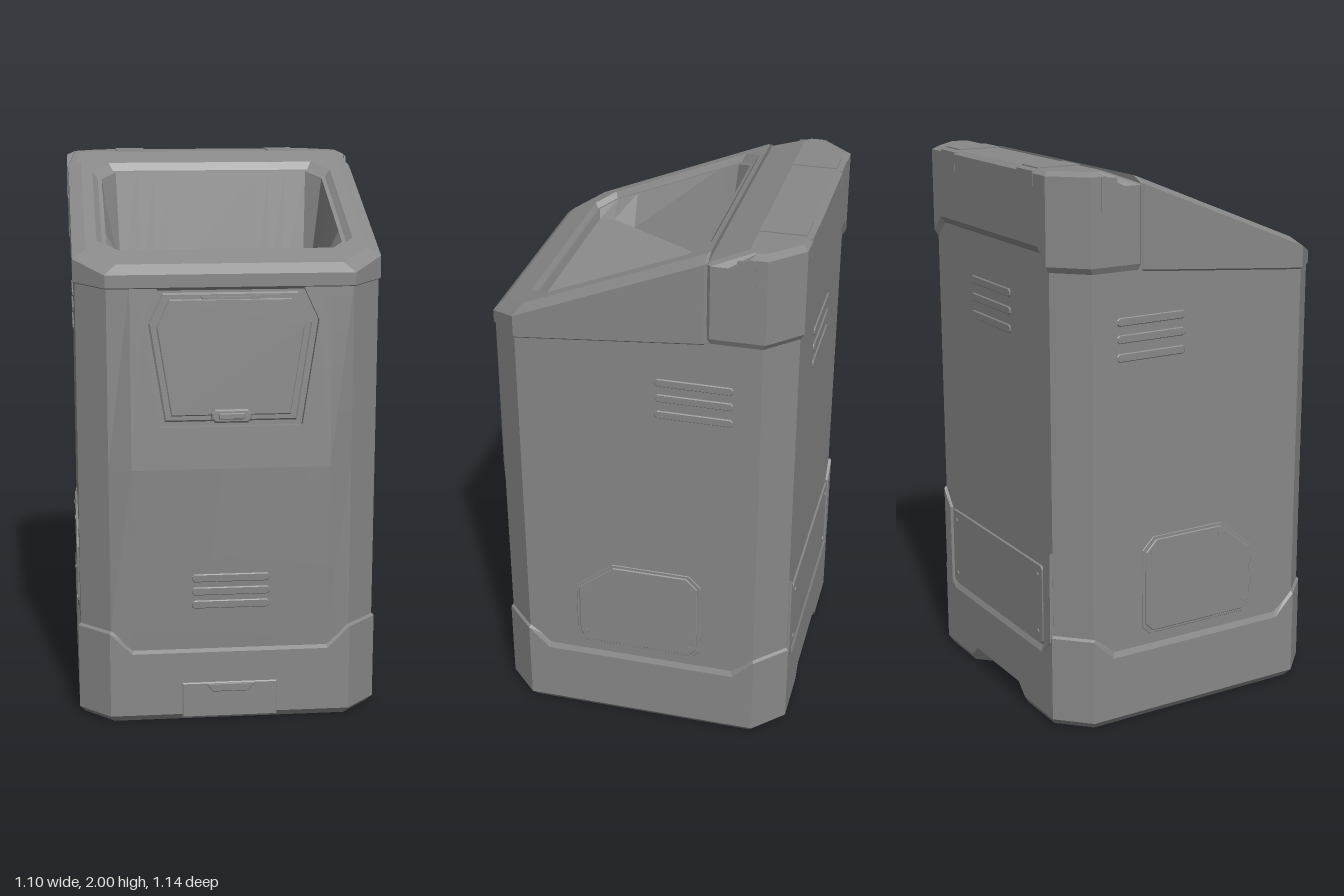
import * as THREE from 'three';
import { toCreasedNormals } from 'three/addons/utils/BufferGeometryUtils.js';

const grey = new THREE.MeshStandardMaterial({ color: 0x888888 });
grey.name = 'grey metal';

// Chamfered rectangle, counter-clockwise from above, with extra points on each side.
// yOf receives (z, isMid, side, x); sides are 0 front, 1 +x, 2 back, 3 -x.
function ring(x, z0, z1, cBack, cFront, yOf, t = 0.08) {
  const pts = [];
  const add = (px, pz, mid, side) => {
    const y = typeof yOf === 'function' ? yOf(pz, mid, side, px) : yOf;
    pts.push(new THREE.Vector3(px, y, pz));
  };
  const f = x - cFront, b = x - cBack, zf = z1 - cFront, zb = z0 + cBack;
  [-f, -f + t, f - t, f].forEach((px, i) => add(px, z1, i === 1 || i === 2, 0));
  [zf, zf - t, zb + t, zb].forEach((pz, i) => add(x, pz, i === 1 || i === 2, 1));
  [b, b - t, 0.22, 0.17, -0.17, -0.22, -b + t, -b].forEach((px, i) => add(px, z0, i > 0 && i < 7, 2));
  [zb, zb + t, zf - t, zf].forEach((pz, i) => add(-x, pz, i === 1 || i === 2, 3));
  return pts;
}

// Skin over a stack of rings; caps are optional, skip(level, i) leaves a gap.
function loft(rings, { bottom = false, top = false, skip = () => false } = {}) {
  const pos = [];
  const tri = (...v) => v.forEach((p) => pos.push(p.x, p.y, p.z));
  const n = rings[0].length;
  for (let k = 0; k < rings.length - 1; k++) {
    for (let i = 0; i < n; i++) {
      if (skip(k, i)) continue;
      const j = (i + 1) % n, a = rings[k], b = rings[k + 1];
      tri(a[i], a[j], b[j]);
      tri(a[i], b[j], b[i]);
    }
  }
  const cap = (r, flip) => {
    const c = r.reduce((s, p) => s.add(p), new THREE.Vector3()).divideScalar(n);
    r.forEach((p, i) => (flip ? tri(r[(i + 1) % n], p, c) : tri(p, r[(i + 1) % n], c)));
  };
  if (bottom) cap(rings[0], true);
  if (top) cap(rings[rings.length - 1], false);
  const g = new THREE.BufferGeometry();
  g.setAttribute('position', new THREE.Float32BufferAttribute(pos, 3));
  g.computeVertexNormals();
  return toCreasedNormals(g, 0.15);
}

const toShape = (pts) => new THREE.Shape(pts.map(([x, y]) => new THREE.Vector2(x, y)));

function mesh(parent, name, geo, x = 0, y = 0, z = 0) {
  const m = new THREE.Mesh(geo, grey);
  m.name = name;
  m.position.set(x, y, z);
  parent.add(m);
  return m;
}

// Flat plate with a softened edge; its back lies on z, facing +z
function plate(parent, name, pts, depth, z = 0, bevel = 0.004) {
  const geo = new THREE.ExtrudeGeometry(toShape(pts), {
    depth: depth - bevel, bevelEnabled: bevel > 0, bevelThickness: bevel, bevelSize: bevel,
    bevelOffset: -bevel, bevelSegments: 1,
  });
  return mesh(parent, name, geo, 0, 0, z);
}

const rect = (x0, x1, y0, y1, c = 0) => (c
  ? [[x0 + c, y0], [x1 - c, y0], [x1, y0 + c], [x1, y1 - c], [x1 - c, y1], [x0 + c, y1], [x0, y1 - c], [x0, y0 + c]]
  : [[x0, y0], [x1, y0], [x1, y1], [x0, y1]]);

function vents(parent, x0, x1, ys) {
  ys.forEach((y) => plate(parent, 'ventSlat', rect(x0, x1, y - 0.015, y + 0.015, 0.008), 0.006, -0.001, 0.003));
}

function screws(parent, spots, z) {
  const geo = new THREE.CylinderGeometry(0.009, 0.009, 0.006, 10).rotateX(Math.PI / 2);
  spots.forEach(([x, y]) => mesh(parent, 'screw', geo, x, y, z));
}

// A group whose +z looks out of a wall
function wall(parent, name, angle, x, z) {
  const g = new THREE.Group();
  g.name = name;
  g.rotation.y = angle;
  g.position.set(x, 0, z);
  parent.add(g);
  return g;
}

export function createModel() {
  const model = new THREE.Group();
  model.name = 'bin';

  // Base: raised corners, low middles, hand slot under the back
  const inSlot = (side, x) => side === 2 && Math.abs(x) < 0.2;
  const slotY = (low, high) => (z, mid, side, x) => (inSlot(side, x) ? high : low);
  const foot = ring(0.525, -0.55, 0.51, 0.105, 0.105, 0);
  foot.forEach((p) => { if (p.z < -0.54 && Math.abs(p.x) < 0.2) p.z += 0.05; });
  mesh(model, 'base', loft([
    foot,
    ring(0.545, -0.565, 0.53, 0.11, 0.11, slotY(0.025, 0.07)),
    ring(0.545, -0.565, 0.53, 0.11, 0.11, (z, mid) => (mid ? 0.26 : 0.34)),
    ring(0.53, -0.55, 0.518, 0.105, 0.105, (z, mid) => (mid ? 0.295 : 0.355)),
  ], { bottom: true }));

  // Body: chamfered shell with a bulging front, open where the hatch panel sits
  const bodyTop = (z, mid, side) => (side === 0 || z > 0 ? 1.6 : 1.74);
  const bodyRing = (y, bulge) => {
    const r = ring(0.536, -0.556, 0.522, 0.105, 0.105, y);
    r[1].z = r[2].z = bulge;
    return r;
  };
  mesh(model, 'body', loft([
    bodyRing(0.22, 0.522), bodyRing(0.35, 0.53), bodyRing(0.95, 0.557), bodyRing(bodyTop, 0.522),
  ], { skip: (k, i) => k === 2 && i === 1 }));

  // Front hatch, set in the tilted upper half of the front
  const hatch = new THREE.Group();
  hatch.name = 'frontHatch';
  hatch.position.set(0, 0.95, 0.557);
  hatch.rotation.x = -Math.atan2(0.035, 0.65);
  model.add(hatch);
  const outline = [[-0.25, 0.15], [0.25, 0.15], [0.308, 0.52], [0.255, 0.635], [-0.255, 0.635], [-0.308, 0.52]];
  const scaled = (s) => outline.map(([x, y]) => [x * s, 0.39 + (y - 0.39) * s]);
  const panel = toShape(rect(-0.351, 0.351, 0, 0.651));
  panel.holes.push(new THREE.Path(outline.map(([x, y]) => new THREE.Vector2(x, y))));
  mesh(hatch, 'hatchSurround', new THREE.ExtrudeGeometry(panel, { depth: 0.025, bevelEnabled: false }), 0, 0, -0.025);
  plate(hatch, 'hatchRecess', scaled(1.02), 0.006, -0.03, 0);
  plate(hatch, 'hatchRim', scaled(0.93), 0.01, -0.025, 0.006);
  plate(hatch, 'hatchDoor', scaled(0.84), 0.01, -0.015);
  plate(hatch, 'hatchLabelBar', [[-0.09, 0.585], [0.09, 0.585], [0.105, 0.605], [-0.105, 0.605]], 0.006, -0.013, 0.002);
  plate(hatch, 'hatchLatch', rect(-0.07, 0.07, 0.165, 0.212, 0.012), 0.026, -0.012, 0.006);
  plate(hatch, 'latchGrip', rect(-0.045, 0.045, 0.178, 0.2), 0.01, 0.012, 0.003);

  // Lid: sloping top with a framed opening, running down into a shallow tray
  const slope = (d) => (z) => 1.655 + (0.52 - z) * 0.404 - d;
  const lower = (d) => (z) => 1.575 + (0.53 - z) * 0.09 + d;
  mesh(model, 'lid', loft([
    ring(0.53, -0.26, 0.515, 0.01, 0.105, lower(0)),
    ring(0.543, -0.26, 0.527, 0.01, 0.108, lower(0.012)),
    ring(0.543, -0.26, 0.527, 0.01, 0.108, slope(0.02)),
    ring(0.495, -0.26, 0.495, 0.01, 0.1, slope(0)),
    ring(0.455, -0.24, 0.4, 0.065, 0.065, slope(0)),
    ring(0.435, -0.222, 0.385, 0.06, 0.06, slope(0.022)),
    ring(0.42, -0.21, 0.375, 0.055, 0.055, slope(0.022)),
    ring(0.37, -0.14, 0.365, 0.02, 0.045, (z) => 1.5 + (z + 0.14) * 0.33),
  ], { top: true }));

  // Rear hood with a raised lower edge in the middle of the back
  const hoodLow = (d) => (z, mid, side) => (side === 2 && mid ? 1.725 : 1.665) + d;
  const hoodTop = (z) => (z > -0.36 ? 1.945 : 1.982);
  mesh(model, 'rearHood', loft([
    ring(0.53, -0.55, -0.25, 0.105, 0.02, hoodLow(-0.02), 0.06),
    ring(0.546, -0.57, -0.25, 0.11, 0.02, hoodLow(0.015), 0.06),
    ring(0.546, -0.57, -0.25, 0.11, 0.02, hoodTop, 0.06),
    ring(0.515, -0.55, -0.39, 0.1, 0.02, 1.996, 0.03),
  ], { top: true }));
  for (const s of [-1, 1]) {
    mesh(model, 'hingeStrap', new THREE.BoxGeometry(0.11, 0.016, 0.16), s * 0.297, 1.992, -0.47);
    mesh(model, 'hingeStrapBack', new THREE.BoxGeometry(0.11, 0.07, 0.01), s * 0.297, 1.955, -0.566);
    // Flared ear where the hood meets the slope
    const ear = toShape([[0.3, 1.825], [0.42, 1.825], [0.42, 1.98], [0.36, 1.975], [0.345, 1.87]]);
    const g = wall(model, 'hoodEar', s * Math.PI / 2, s * 0.543, 0);
    const earMesh = mesh(g, 'earPlate', new THREE.ExtrudeGeometry(ear, { depth: 0.005, bevelEnabled: false }));
    if (s < 0) earMesh.geometry.rotateY(Math.PI).translate(0, 0, 0.005);
  }

  // Side vents and service covers, mirrored
  for (const s of [-1, 1]) {
    const side = wall(model, s > 0 ? 'leftSide' : 'rightSide', s * Math.PI / 2, s * 0.536, 0);
    vents(side, s > 0 ? 0.08 : -0.355, s > 0 ? 0.355 : -0.08, [1.36, 1.425, 1.485]);
    const cover = [[-0.19, 0.32], [0.22, 0.32], [0.25, 0.35], [0.25, 0.645], [0.205, 0.69],
      [-0.085, 0.69], [-0.225, 0.575], [-0.225, 0.355]].map(([x, y]) => [x * s, y]);
    if (s < 0) cover.reverse();
    plate(side, 'coverFrame', cover, 0.004, -0.001, 0.002);
    plate(side, 'serviceCover', cover.map(([x, y]) => [x * 0.95, 0.505 + (y - 0.505) * 0.94]), 0.006, 0.002, 0.003);
    screws(side, [[-0.19, 0.37], [0.21, 0.36], [0.21, 0.63], [-0.08, 0.65]].map(([x, y]) => [x * s, y]), 0.008);
  }

  // Back vents, lower cover and its side wedges
  const back = wall(model, 'back', Math.PI, 0, -0.556);
  vents(back, -0.15, 0.15, [1.41, 1.475, 1.54]);
  plate(back, 'backCover', rect(-0.365, 0.365, 0.29, 0.59, 0.012), 0.008, -0.001, 0.003);
  screws(back, [[-0.33, 0.33], [0.33, 0.33], [0.33, 0.55], [-0.33, 0.55]], 0.008);
  plate(back, 'coverWedge', [[0.375, 0.27], [0.43, 0.32], [0.43, 0.66], [0.375, 0.59]], 0.012, -0.001);
  plate(back, 'coverWedge', [[-0.375, 0.59], [-0.43, 0.66], [-0.43, 0.32], [-0.375, 0.27]], 0.012, -0.001);

  // Lower front vents, leaning with the front, and the base drawer
  const frontVents = wall(model, 'frontVents', 0, 0, 0.514);
  frontVents.rotation.x = Math.atan2(0.027, 0.6);
  vents(frontVents, -0.14, 0.14, [0.445, 0.495, 0.545]);
  const front = wall(model, 'baseFront', 0, 0, 0.53);
  plate(front, 'drawer', rect(-0.175, 0.17, 0.012, 0.145), 0.006, -0.002);
  plate(front, 'drawerPull', [[-0.065, 0.11], [0.065, 0.11], [0.088, 0.14], [-0.088, 0.14]], 0.007, 0.002, 0.003);

  return model;
}
